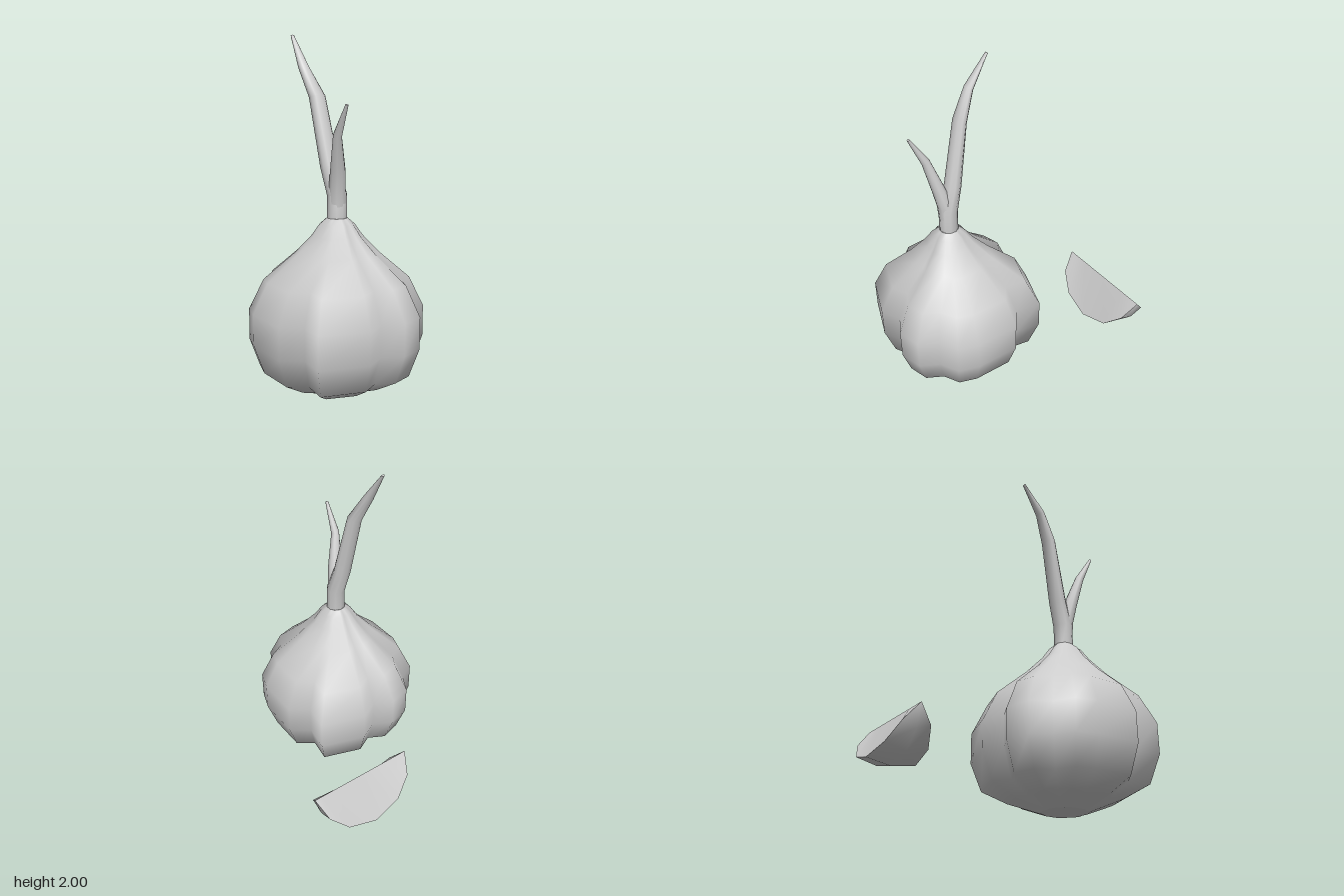
import * as THREE from 'three';
import { toCreasedNormals } from 'three/addons/utils/BufferGeometryUtils.js';

const material = new THREE.MeshStandardMaterial({ color: 0xcccccc });

// Skin a list of equal-length rings and close both ends with fans
function loft(rings) {
  const n = rings[0].length;
  const points = rings.flat();
  const index = [];
  for (let i = 0; i < rings.length - 1; i++) {
    for (let j = 0; j < n; j++) {
      const a = i * n + j, b = i * n + (j + 1) % n;
      index.push(a, b, b + n, a, b + n, a + n);
    }
  }
  const addCap = (ring, flip) => {
    const start = points.length;
    const centre = ring.reduce((s, p) => s.add(p), new THREE.Vector3()).divideScalar(n);
    points.push(...ring, centre);
    for (let j = 0; j < n; j++) {
      const a = start + j, b = start + (j + 1) % n;
      index.push(start + n, flip ? b : a, flip ? a : b);
    }
  };
  addCap(rings[0], true);
  addCap(rings[rings.length - 1], false);
  const geometry = new THREE.BufferGeometry().setFromPoints(points);
  geometry.setIndex(index);
  geometry.computeVertexNormals();
  return geometry;
}

function part(name, geometry) {
  const mesh = new THREE.Mesh(geometry, material);
  mesh.name = name;
  return mesh;
}

// Lobed bulb: half an outline, repeated by a half turn, scaled up the profile
function bulbGeometry() {
  const half = [
    [0, 0.405], [0.115, 0.465], [0.255, 0.425], [0.315, 0.315], [0.425, 0.255],
    [0.465, 0.135], [0.465, -0.135], [0.355, -0.215], [0.38, -0.375], [0.115, -0.465],
  ];
  const outline = [...half, ...half.map(([x, z]) => [-x, -z])];
  // height, scale, strength of the lobes
  const profile = [
    [0, 0.28, 0.5], [0.06, 0.61, 0.85], [0.135, 0.88, 1], [0.3, 1, 1], [0.48, 1, 1],
    [0.65, 0.83, 1], [0.8, 0.48, 1], [0.9, 0.29, 0.9], [0.965, 0.2, 0.7], [1.0, 0.12, 0.2],
  ];
  return loft(profile.map(([y, scale, lobes]) => outline.map(([x, z]) => {
    const round = 0.475 / Math.hypot(x, z);
    const k = scale * (round + (1 - round) * lobes);
    const lean = THREE.MathUtils.smoothstep(y, 0.6, 1);
    return new THREE.Vector3(-0.145 + x * k - 0.012 * lean, y, 0.265 + z * k + 0.02 * lean);
  })));
}

// Tapering shoot along stations of [x, y, z, radius across x, radius across z]
function shootGeometry(stations, sides = 10) {
  return loft(stations.map(([x, y, z, rx, rz], i) => {
    const before = stations[Math.max(i - 1, 0)];
    const after = stations[Math.min(i + 1, stations.length - 1)];
    const tilt = Math.atan2(after[2] - before[2], after[1] - before[1]);
    return Array.from({ length: sides }, (_, j) => {
      const t = (j / sides) * Math.PI * 2;
      const d = Math.cos(t) * rz;
      return new THREE.Vector3(x + Math.sin(t) * rx, y - d * Math.sin(tilt), z + d * Math.cos(tilt));
    });
  }));
}

// Loose clove: straight ridge on top, curved back underneath
function cloveGeometry() {
  // x, rim height, rim half width, keel height
  const side = [[0.317, 0.495, 0.004, 0.49], [0.278, 0.395, 0.085, 0.365], [0.176, 0.295, 0.13, 0.265]];
  const stations = [
    ...side.map(([x, ...rest]) => [-x, ...rest]),
    [0, 0.25, 0.15, 0.225],
    ...side.slice().reverse(),
  ];
  const geometry = loft(stations.map(([x, rimY, rimZ, keelY]) => [
    new THREE.Vector3(x, 0.5, 0),
    new THREE.Vector3(x, rimY, rimZ),
    new THREE.Vector3(x, keelY, 0),
    new THREE.Vector3(x, rimY, -rimZ),
  ]));
  return toCreasedNormals(geometry, 0.75);
}

export function createModel() {
  const model = new THREE.Group();
  model.name = 'garlic';

  model.add(part('bulb', bulbGeometry()));

  // Stem running on into the long shoot
  model.add(part('longShoot', shootGeometry([
    [-0.157, 0.96, 0.285, 0.058, 0.056],
    [-0.157, 1.13, 0.283, 0.058, 0.056],
    [-0.172, 1.28, 0.235, 0.056, 0.048],
    [-0.2, 1.66, 0.155, 0.05, 0.037],
    [-0.233, 1.82, 0.07, 0.032, 0.026],
    [-0.23, 1.997, -0.05, 0.011, 0.006],
  ])));

  // Short shoot branching to the front
  model.add(part('shortShoot', shootGeometry([
    [-0.157, 1.06, 0.287, 0.054, 0.052],
    [-0.165, 1.16, 0.297, 0.05, 0.046],
    [-0.18, 1.27, 0.324, 0.045, 0.04],
    [-0.22, 1.46, 0.376, 0.025, 0.026],
    [-0.225, 1.627, 0.468, 0.009, 0.008],
  ])));

  const clove = part('clove', cloveGeometry());
  clove.position.set(0.288, 0, -0.585);
  model.add(clove);

  return model;
}
